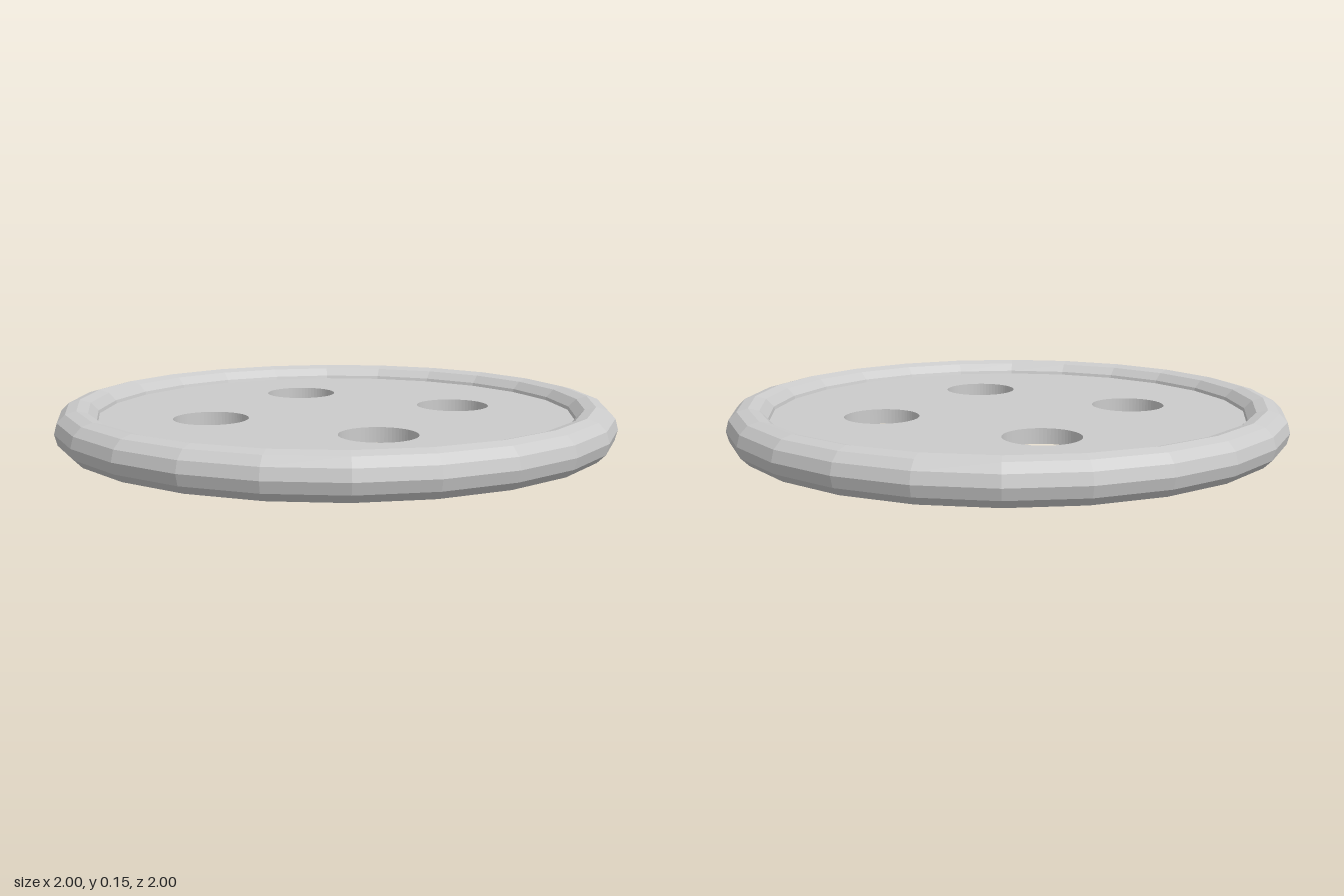
import * as THREE from 'three';

const TUBE = 0.077;          // rim tube radius
const RING = 1 - TUBE;       // rim centre-line radius
const SIDES = 24;            // facets around the button
const THICK = 0.054;         // plate thickness
const HOLE_R = 0.133;
const HOLE_AT = 0.326;

export function createModel() {
  const button = new THREE.Group();
  button.name = 'button';
  const material = new THREE.MeshStandardMaterial({ color: 0xcccccc, flatShading: true });

  // Faceted rounded rim
  const rim = new THREE.Mesh(new THREE.TorusGeometry(RING, TUBE, 12, SIDES), material);
  rim.name = 'rim';
  rim.rotation.x = -Math.PI / 2;
  rim.position.y = TUBE;
  button.add(rim);

  // Flat plate, its edge buried in the rim, pierced by four thread holes
  const corners = Array.from({ length: SIDES }, (_, i) => {
    const a = (i / SIDES) * Math.PI * 2;
    return new THREE.Vector2(Math.cos(a) * RING, Math.sin(a) * RING);
  });
  const outline = new THREE.Shape(corners);
  for (const x of [-HOLE_AT, HOLE_AT]) {
    for (const y of [-HOLE_AT, HOLE_AT]) {
      outline.holes.push(new THREE.Path().absarc(x, y, HOLE_R, 0, Math.PI * 2, true));
    }
  }
  const plateGeometry = new THREE.ExtrudeGeometry(outline, {
    depth: THICK, bevelEnabled: false, curveSegments: 32,
  });
  plateGeometry.translate(0, 0, -THICK / 2);
  const plate = new THREE.Mesh(plateGeometry, material);
  plate.name = 'plate';
  plate.rotation.x = -Math.PI / 2;
  plate.position.y = TUBE;
  button.add(plate);

  return button;
}
